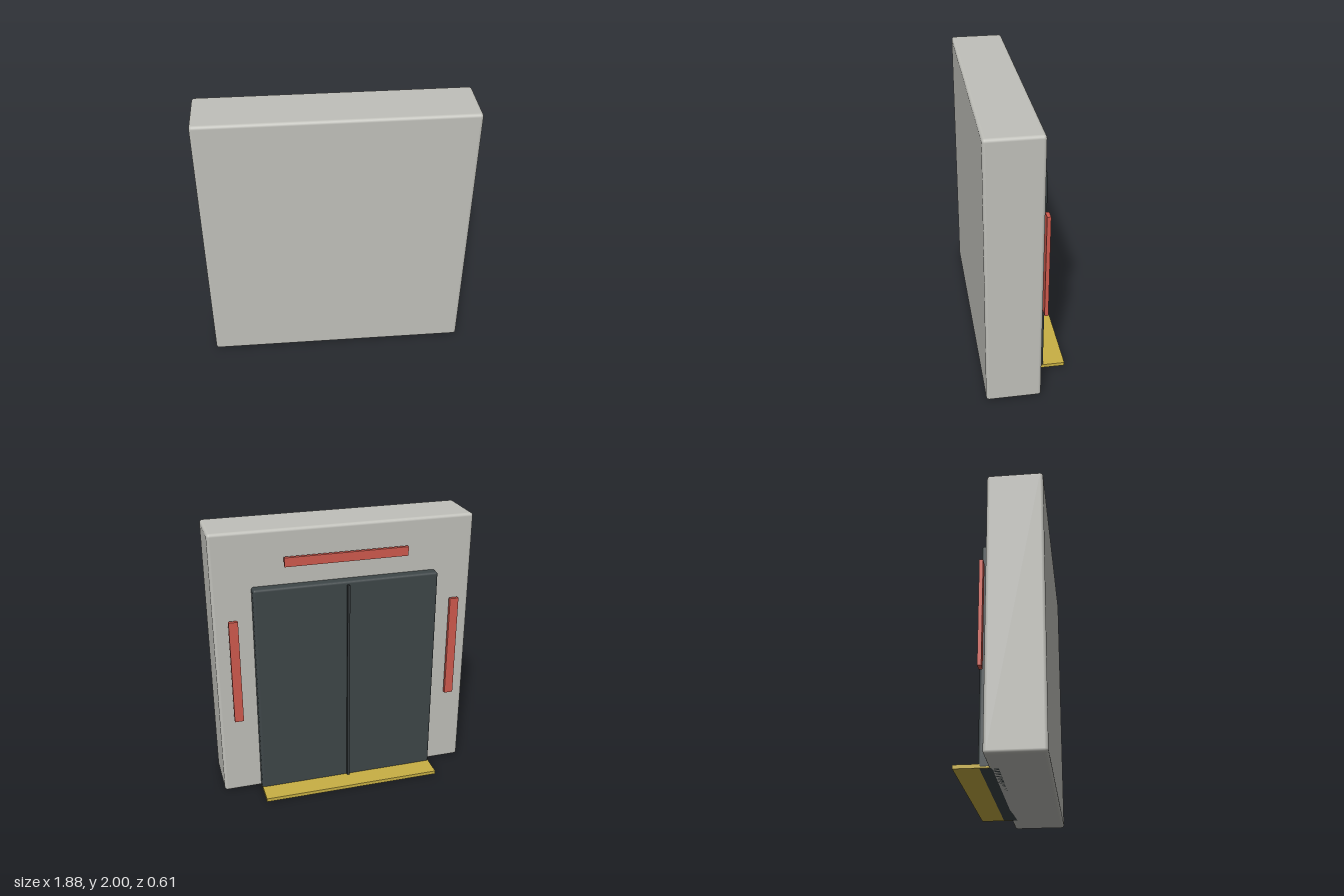
import * as THREE from 'three';
import { RoundedBoxGeometry } from 'three/addons/geometries/RoundedBoxGeometry.js';

function material(name, color) {
  const m = new THREE.MeshStandardMaterial({ color });
  m.name = name;
  return m;
}

export function createModel() {
  const group = new THREE.Group();
  const wallGrey = material('wallGrey', 0xc0c0ba);
  const doorSlate = material('doorSlate', 0x3e4648);
  const seamDark = material('seamDark', 0x34393b);
  const sillYellow = material('sillYellow', 0xc8b044);
  const lampRed = material('lampRed', 0xd05a4e);

  // Box given by its min and max corners, with an optional rounded edge
  function box(name, mat, [x0, y0, z0], [x1, y1, z1], radius = 0) {
    const size = [x1 - x0, y1 - y0, z1 - z0];
    const geo = radius
      ? new RoundedBoxGeometry(...size, 3, radius)
      : new THREE.BoxGeometry(...size);
    const mesh = new THREE.Mesh(geo, mat);
    mesh.name = name;
    mesh.position.set((x0 + x1) / 2, (y0 + y1) / 2, (z0 + z1) / 2);
    group.add(mesh);
  }

  // Wall block
  box('wall', wallGrey, [-0.94, 0, -0.08], [0.94, 2, 0.305], 0.022);

  // Double door with its raised centre seam, on the back
  box('door', doorSlate, [-0.665, 0, -0.148], [0.665, 1.61, 0], 0.018);
  box('doorSeam', seamDark, [-0.009, 0.02, -0.168], [0.009, 1.585, -0.14]);

  // Threshold plate under the door
  box('threshold', sillYellow, [-0.664, 0.002, -0.305], [0.664, 0.028, -0.06]);

  // Warning lamps above and beside the door
  box('topLamp', lampRed, [-0.44, 1.75, -0.136], [0.44, 1.815, -0.11]);
  box('leftLamp', lampRed, [0.775, 0.615, -0.136], [0.84, 1.39, -0.11]);
  box('rightLamp', lampRed, [-0.84, 0.615, -0.136], [-0.775, 1.39, -0.11]);

  return group;
}
